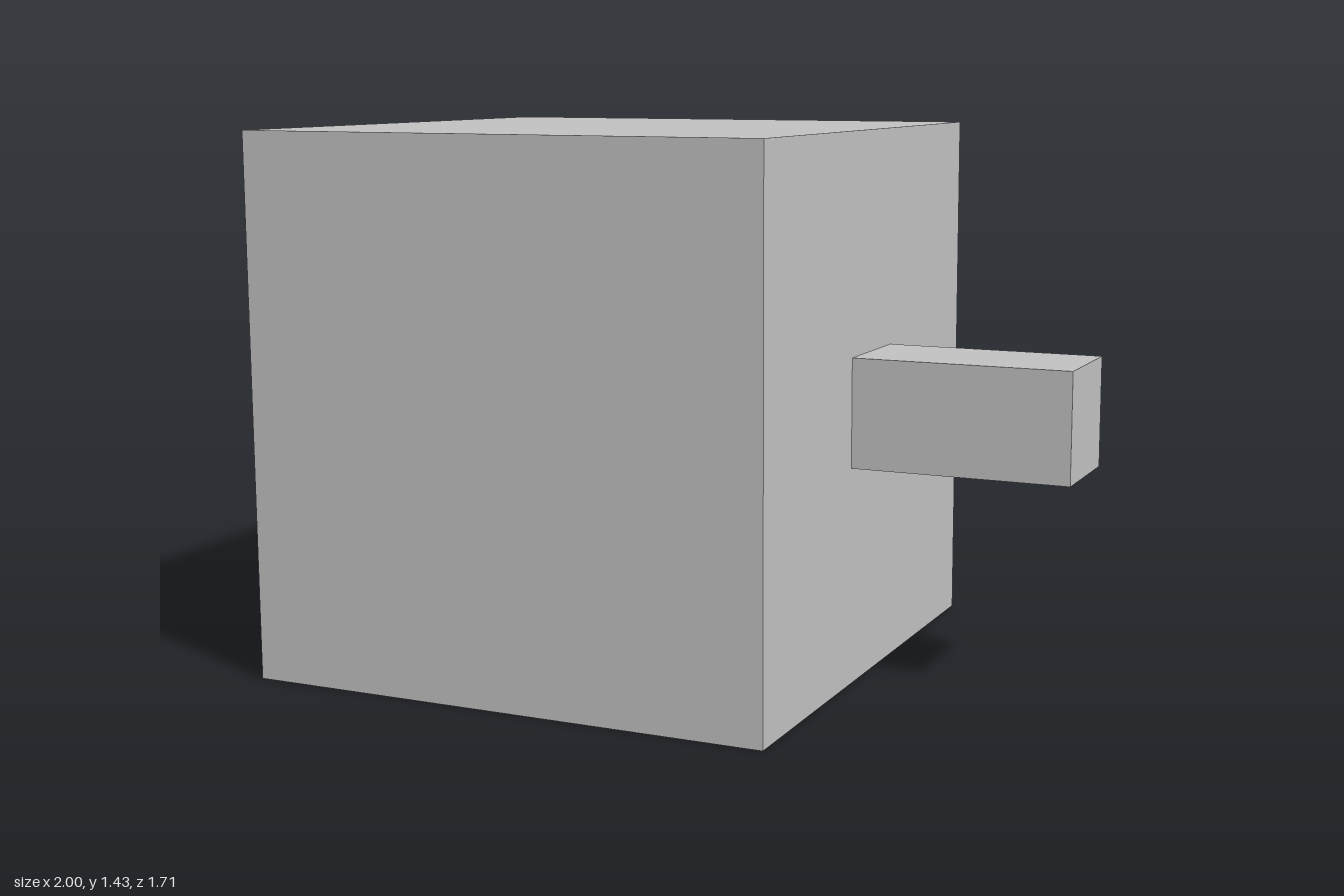
import * as THREE from 'three';

const U = 2 / 14; // the model is built on a grid of 14 units across

export function createModel() {
  const group = new THREE.Group();
  const grey = new THREE.MeshStandardMaterial({ color: 0xc0c0c0 });
  grey.name = 'light grey';

  // Box from its minimum corner and size, both in grid units
  const addBox = (name, [x, y, z], [w, h, d]) => {
    const mesh = new THREE.Mesh(new THREE.BoxGeometry(w * U, h * U, d * U), grey);
    mesh.name = name;
    mesh.position.set((x + w / 2) * U, (y + h / 2) * U, (z + d / 2) * U);
    group.add(mesh);
  };

  addBox('body', [-7, 0, -4], [10, 10, 10]);
  addBox('sidePeg', [3, 4, 0], [4, 2, 2]); // long peg on the left side
  addBox('backPeg', [-3, 4, -6], [2, 2, 2]); // short peg on the back

  return group;
}
